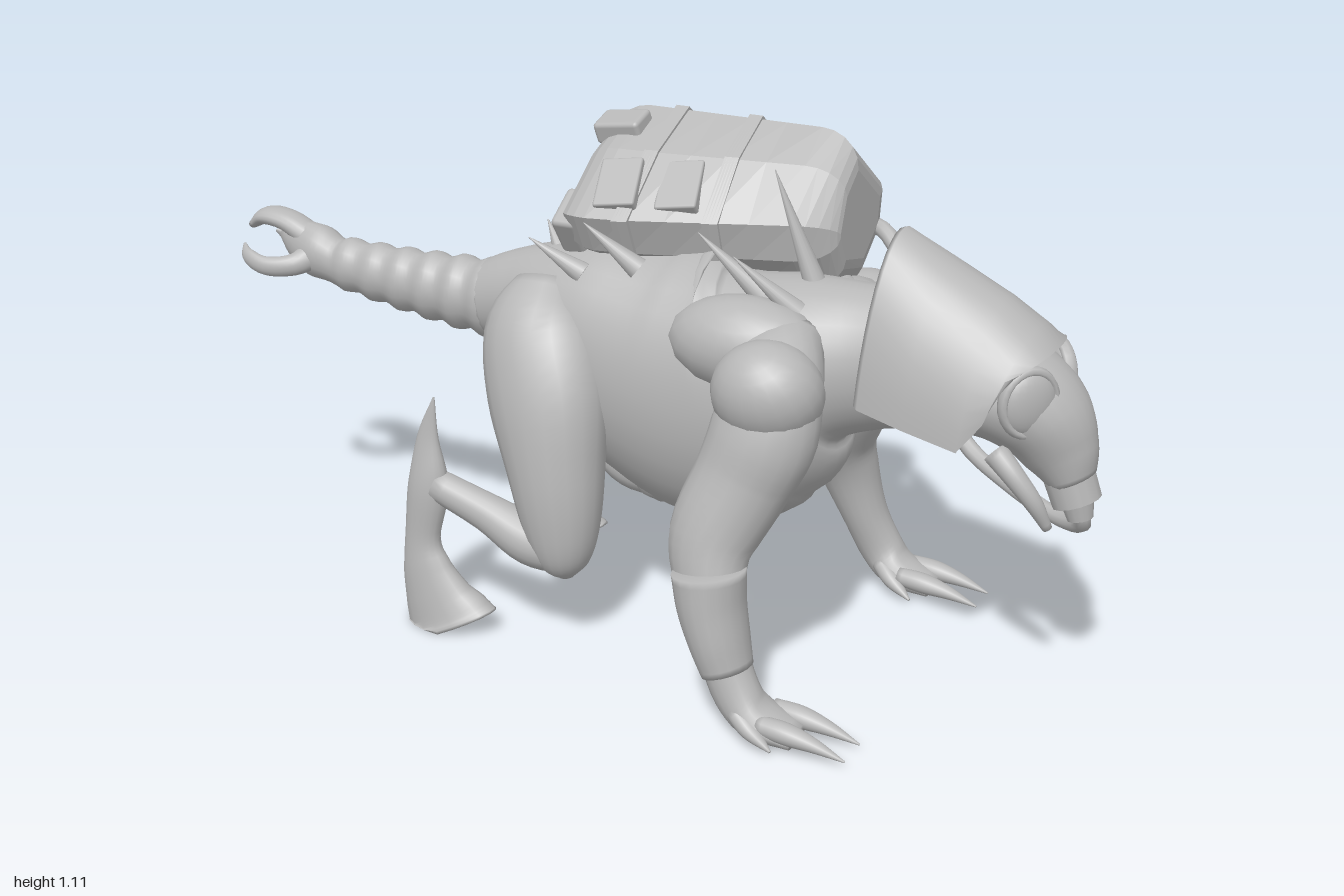
import * as THREE from 'three';
import { RoundedBoxGeometry } from 'three/addons/geometries/RoundedBoxGeometry.js';

const grey = new THREE.MeshStandardMaterial({ color: 0xb8b8b8, side: THREE.DoubleSide });
grey.name = 'plain grey';

// Smooth body part through sections [x, y, z, half width across, half depth]
function loft(secs, seg = 5, n = 18) {
  const path = new THREE.CatmullRomCurve3(secs.map(s => new THREE.Vector3(s[0], s[1], s[2])), false, 'catmullrom', 0.5);
  const radii = new THREE.CatmullRomCurve3(secs.map(s => new THREE.Vector3(s[3], s[4], 0)), false, 'catmullrom', 0.5);
  const rings = (secs.length - 1) * seg, pos = [], idx = [];
  for (let i = 0; i <= rings; i++) {
    const p = path.getPoint(i / rings), r = radii.getPoint(i / rings), t = path.getTangent(i / rings);
    const w = new THREE.Vector3(0, 0, 1).addScaledVector(t, -t.z).normalize();
    const h = new THREE.Vector3().crossVectors(w, t);
    for (let j = 0; j < n; j++) {
      const a = j / n * Math.PI * 2;
      const v = p.clone().addScaledVector(w, Math.cos(a) * Math.max(r.x, 0.001))
        .addScaledVector(h, Math.sin(a) * Math.max(r.y, 0.001));
      pos.push(v.x, Math.max(v.y, 0), v.z);
      if (i < rings) {
        const k = i * n + j, m = i * n + (j + 1) % n;
        idx.push(k, k + n, m, m, k + n, m + n);
      }
    }
  }
  const c = pos.length / 3, last = rings * n;
  pos.push(...secs[0].slice(0, 3), ...secs[secs.length - 1].slice(0, 3));
  for (let j = 0; j < n; j++) {
    const k = (j + 1) % n;
    idx.push(c, j, k, c + 1, last + k, last + j);
  }
  return surface(pos, idx);
}

function surface(pos, idx) {
  const g = new THREE.BufferGeometry();
  g.setAttribute('position', new THREE.Float32BufferAttribute(pos, 3));
  g.setIndex(idx);
  g.computeVertexNormals();
  return g;
}

// Hood made of arches [top x, top y, bottom x, bottom y, half width]
function hoodGeometry() {
  const arches = [[0.57, 0.80, 0.56, 0.66, 0.06], [0.575, 0.965, 0.55, 0.64, 0.15], [0.585, 0.968, 0.56, 0.635, 0.158],
    [0.68, 0.92, 0.66, 0.615, 0.17], [0.80, 0.86, 0.77, 0.59, 0.168], [0.87, 0.815, 0.815, 0.65, 0.155], [0.91, 0.775, 0.85, 0.74, 0.14]];
  const n = 20, pos = [], idx = [];
  arches.forEach(([tx, ty, bx, by, w], i) => {
    for (let j = 0; j <= n; j++) {
      const a = j / n * Math.PI, s = Math.sin(a);
      pos.push(bx + (tx - bx) * s, by + (ty - by) * s, w * Math.cos(a));
      const k = i * (n + 1) + j;
      if (i < arches.length - 1 && j < n) idx.push(k, k + n + 1, k + 1, k + 1, k + n + 1, k + n + 2);
    }
  });
  return surface(pos, idx);
}

// Pack outline in (z, y), swept along x; its left side tapers in towards the front
const packOutline = [[-0.165, 1.1], [-0.355, 0.965], [-0.335, 0.84], [-0.22, 0.75], [-0.05, 0.78], [0.09, 0.85], [0.13, 0.93], [-0.02, 1.04]];
function packSlice(x0, x1, grow, bevel) {
  const pts = packOutline.map(([z, y]) => new THREE.Vector2(-(-0.12 + (z + 0.12) * grow), 0.92 + (y - 0.92) * grow));
  const g = new THREE.ExtrudeGeometry(new THREE.Shape(pts), {
    depth: x1 - x0, bevelEnabled: bevel > 0, bevelThickness: bevel, bevelSize: bevel * 0.8, bevelOffset: -bevel * 0.8, bevelSegments: 5, steps: 5 });
  g.rotateY(Math.PI / 2).translate(x0, 0, 0);
  const p = g.attributes.position;
  for (let i = 0; i < p.count; i++) {
    const x = p.getX(i), z = p.getZ(i);
    if (z > -0.12) p.setZ(i, -0.12 + (z + 0.12) * (1 - 1.6 * Math.max(0, x + 0.03)));
  }
  g.computeVertexNormals();
  return g;
}

export function createModel() {
  const model = new THREE.Group();
  const add = (name, geometry, position = [0, 0, 0], rotation = [0, 0, 0], scale = [1, 1, 1]) => {
    const m = new THREE.Mesh(geometry, grey);
    m.name = name;
    m.position.set(...position);
    m.rotation.set(...rotation);
    m.scale.set(...scale);
    model.add(m);
    return m;
  };
  const box = (w, h, d) => new RoundedBoxGeometry(w, h, d, 2, Math.min(w, h, d) * 0.2);
  const tube = (pts, r) => new THREE.TubeGeometry(new THREE.CatmullRomCurve3(pts.map(p => new THREE.Vector3(...p))), 48, r, 10);
  const rod = (name, from, to, r0, r1) => {
    const a = new THREE.Vector3(...from), b = new THREE.Vector3(...to);
    const m = add(name, new THREE.CylinderGeometry(r1, r0, a.distanceTo(b), 14), a.clone().add(b).multiplyScalar(0.5).toArray());
    m.quaternion.setFromUnitVectors(new THREE.Vector3(0, 1, 0), b.sub(a).normalize());
  };

  // Torso and neck
  add('torso', loft([[-0.37, 0.67, 0, 0.075, 0.085], [-0.28, 0.685, 0, 0.1, 0.112], [-0.2, 0.68, 0, 0.14, 0.15], [-0.1, 0.655, 0, 0.17, 0.21],
    [0.05, 0.6, 0, 0.195, 0.27], [0.2, 0.575, 0, 0.2, 0.3], [0.31, 0.61, 0, 0.19, 0.26], [0.41, 0.665, 0, 0.165, 0.18],
    [0.53, 0.69, 0, 0.125, 0.15], [0.64, 0.70, 0, 0.12, 0.14]], 6, 28));

  // Beaded tail and its grasping end
  const tail = [];
  for (let i = 0; i <= 12; i++) {
    const f = i / 12, r = (0.085 - 0.03 * f) * (i % 2 ? 1.04 : 0.91);
    tail.push([-0.33 - 0.44 * f, 0.672 + 0.022 * f * f, 0, r * 0.92, r * 1.06]);
  }
  tail.push([-0.82, 0.71, 0, 0.052, 0.062], [-0.87, 0.73, 0, 0.036, 0.05], [-0.91, 0.75, 0, 0.02, 0.025]);
  add('tail', loft(tail, 4));
  add('tailUpperClaw', loft([[-0.84, 0.74, 0, 0.035, 0.03], [-0.9, 0.77, 0, 0.036, 0.024], [-0.96, 0.775, 0, 0.035, 0.02], [-1, 0.75, 0, 0.02, 0.01]]));

  for (const s of [1, -1]) {
    const side = s > 0 ? 'left' : 'right';
    const limb = (name, secs) => add(side + name, loft(secs.map(([x, y, z, a, b]) => [x, y, z * s, a, b])));

    limb('TailClaw', [[-0.82, 0.71, 0.01, 0.03, 0.035], [-0.85, 0.69, 0.06, 0.02, 0.025], [-0.91, 0.685, 0.084, 0.016, 0.022],
      [-0.96, 0.70, 0.08, 0.012, 0.018], [-0.985, 0.72, 0.06, 0.003, 0.004]]);

    // Front leg
    limb('FrontLeg', [[0.38, 0.72, 0.1, 0.07, 0.09], [0.4, 0.685, 0.2, 0.09, 0.105], [0.41, 0.6, 0.255, 0.083, 0.11],
      [0.375, 0.5, 0.275, 0.082, 0.1], [0.33, 0.38, 0.317, 0.074, 0.09], [0.345, 0.28, 0.35, 0.06, 0.07],
      [0.38, 0.17, 0.368, 0.05, 0.052], [0.42, 0.085, 0.38, 0.045, 0.05], [0.465, 0.042, 0.378, 0.056, 0.04], [0.55, 0.02, 0.375, 0.05, 0.02]]);
    add(side + 'Shoulder', new THREE.SphereGeometry(1, 20, 14), [0.41, 0.675, 0.245 * s], [0.5 * s, 0, 0.15], [0.115, 0.108, 0.1]);
    add(side + 'ShoulderBlade', new THREE.SphereGeometry(1, 18, 12), [0.31, 0.72, 0.13 * s], [0.5 * s, 0, 0], [0.17, 0.1, 0.1]);
    for (const z of [0.335, 0.41])
      limb('Finger', [[0.48, 0.045, z, 0.02, 0.02], [0.54, 0.04, z, 0.024, 0.022], [0.6, 0.03, z, 0.016, 0.014], [0.665, 0.012, z, 0.002, 0.002]]);
    for (const [z0, z1] of [[0.35, 0.3], [0.41, 0.44]])
      limb('Thumb', [[0.43, 0.06, z0, 0.02, 0.02], [0.47, 0.035, (z0 + z1) / 2, 0.02, 0.018], [0.52, 0.01, z1, 0.003, 0.003]]);

    // Hind leg with backward hock spur and flared foot
    limb('Thigh', [[-0.18, 0.76, 0.07, 0.06, 0.07], [-0.17, 0.67, 0.125, 0.1, 0.125], [-0.125, 0.55, 0.175, 0.105, 0.135],
      [-0.09, 0.4, 0.205, 0.095, 0.108], [-0.07, 0.28, 0.22, 0.078, 0.085], [-0.06, 0.2, 0.225, 0.055, 0.055], [-0.055, 0.165, 0.225, 0.015, 0.015]]);
    limb('Shin', [[-0.04, 0.225, 0.225, 0.05, 0.05], [-0.14, 0.235, 0.23, 0.055, 0.055], [-0.24, 0.28, 0.24, 0.04, 0.042], [-0.36, 0.325, 0.25, 0.033, 0.035]]);
    limb('HindFoot', [[-0.36, 0.525, 0.25, 0.002, 0.002], [-0.378, 0.43, 0.25, 0.014, 0.026], [-0.38, 0.32, 0.252, 0.032, 0.048],
      [-0.395, 0.2, 0.258, 0.028, 0.042], [-0.385, 0.13, 0.26, 0.034, 0.06], [-0.362, 0.065, 0.257, 0.045, 0.084], [-0.34, 0.02, 0.252, 0.057, 0.108], [-0.33, 0, 0.252, 0.062, 0.12]]);

    // Mask goggles and tusks
    const goggle = [0.884, 0.688, 0.092 * s], yaw = Math.PI / 2 - s * 0.75;
    add(side + 'GoggleLens', new THREE.SphereGeometry(1, 20, 14), goggle, [0, yaw, 0], [0.058, 0.066, 0.026]);
    add(side + 'GoggleRim', new THREE.TorusGeometry(0.056, 0.009, 8, 24), goggle, [0, yaw, 0], [1, 1.15, 1.6]);
    limb('Tusk', [[0.82, 0.57, 0.08, 0.026, 0.026], [0.865, 0.53, 0.09, 0.022, 0.022], [0.905, 0.48, 0.084, 0.018, 0.018], [0.93, 0.425, 0.066, 0.01, 0.01]]);
  }

  // Head: hood, mask and filter
  add('hood', hoodGeometry());
  add('mask', loft([[0.62, 0.69, 0, 0.12, 0.11], [0.74, 0.685, 0, 0.14, 0.105], [0.82, 0.672, 0, 0.134, 0.104],
    [0.885, 0.63, 0, 0.11, 0.097], [0.928, 0.565, 0, 0.074, 0.077], [0.955, 0.51, 0, 0.052, 0.048]], 6, 24));
  rod('filter', [0.945, 0.52, 0], [0.966, 0.465, 0], 0.052, 0.05);
  rod('filterNozzle', [0.965, 0.47, 0], [0.975, 0.43, 0], 0.034, 0.026);
  add('breathingHose', tube([[0.97, 0.45, 0], [0.975, 0.412, -0.02], [0.91, 0.385, -0.08], [0.78, 0.405, -0.15], [0.66, 0.46, -0.2],
    [0.6, 0.58, -0.21], [0.56, 0.7, -0.222], [0.5, 0.8, -0.245], [0.43, 0.865, -0.28], [0.36, 0.85, -0.32], [0.31, 0.8, -0.335]], 0.018));

  // Back pack, straps and pockets
  add('pack', packSlice(-0.06, 0.335, 1, 0.085));
  for (const x of [0, 0.17]) add('packStrap', packSlice(x, x + 0.03, 1.04, 0));
  for (const [x, z] of [[-0.02, 0.05], [0.1, 0.01]]) add('packFlap', box(0.09, 0.03, 0.12), [x, 0.985, z], [0.68, 0.2, 0]);
  for (const [y, z] of [[0.94, -0.22], [0.92, -0.08], [0.89, 0.04]]) add('rearPocket', box(0.06, 0.1, 0.1), [-0.125, y, z], [0.6, 0, 0]);
  add('topPouch', box(0.11, 0.05, 0.07), [-0.09, 1.065, -0.1], [0.3, 0, 0.15]);
  add('sidePouch', box(0.08, 0.06, 0.06), [-0.08, 1.0, -0.29], [-0.6, 0, 0]);
  add('packBuckle', box(0.2, 0.02, 0.035), [0.18, 1.038, -0.26], [-0.62, 0, 0]);

  // Canister slung along the right side of the pack
  rod('canister', [0.28, 0.81, -0.35], [0.08, 0.875, -0.385], 0.048, 0.048);
  rod('canisterCap', [0.33, 0.79, -0.34], [0.28, 0.81, -0.35], 0.025, 0.042);
  rod('canisterBase', [0.08, 0.875, -0.385], [0.06, 0.882, -0.389], 0.048, 0.03);
  for (const f of [0.15, 0.75])
    rod('canisterBand', [0.28 - 0.2 * f, 0.81 + 0.065 * f, -0.35 - 0.035 * f], [0.255 - 0.2 * f, 0.818 + 0.065 * f, -0.355 - 0.035 * f], 0.055, 0.055);

  // Right arm pouch with flap, and left forearm guard
  add('armPouch', box(0.15, 0.17, 0.11), [0.36, 0.475, -0.37], [0.3, 0, 0]);
  add('armPouchFlap', box(0.16, 0.07, 0.12), [0.36, 0.535, -0.355], [0.3, 0, 0]);
  add('forearmGuard', loft([[0.345, 0.33, 0.362, 0.08, 0.074], [0.355, 0.26, 0.367, 0.078, 0.068], [0.375, 0.19, 0.372, 0.072, 0.06], [0.395, 0.13, 0.376, 0.06, 0.052]]));

  // Back spikes
  for (const [from, to] of [[[0.32, 0.81, 0.08], [0.19, 0.93, 0.11]], [[0.4, 0.79, 0.09], [0.28, 0.9, 0.135]], [[0.4, 0.82, 0], [0.31, 1.05, 0.01]],
    [[0.05, 0.83, 0.1], [-0.06, 0.92, 0.13]], [[-0.08, 0.8, 0.1], [-0.19, 0.87, 0.13]], [[-0.18, 0.79, 0], [-0.22, 0.87, 0]], [[-0.18, 0.77, -0.06], [-0.21, 0.85, -0.08]]])
    rod('backSpike', from, to, 0.024, 0.001);

  return model;
}
